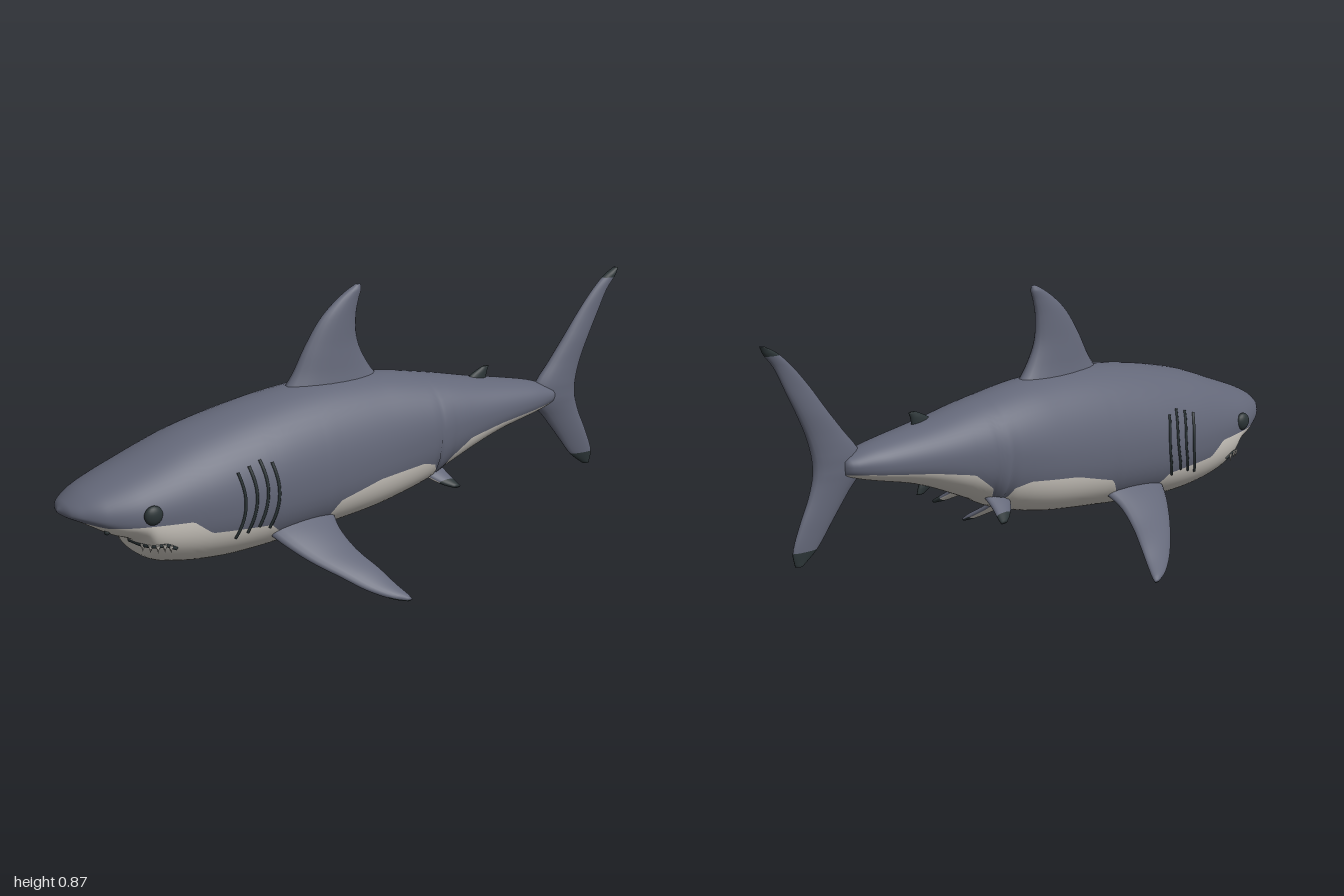
import * as THREE from 'three';

const V = (x, y, z) => new THREE.Vector3(x, y, z);
const paint = (name, color) => {
  const m = new THREE.MeshStandardMaterial({ color });
  m.name = name;
  return m;
};

// Piecewise reader for [x, value] lists, smooth or straight
function reader(pts, smooth = true) {
  const slope = i => {
    const a = pts[Math.max(0, i - 1)], b = pts[Math.min(pts.length - 1, i + 1)];
    return (b[1] - a[1]) / (b[0] - a[0]);
  };
  return x => {
    let i = 0;
    while (i < pts.length - 2 && x > pts[i + 1][0]) i++;
    const [x0, a] = pts[i], [x1, b] = pts[i + 1], d = x1 - x0;
    const t = THREE.MathUtils.clamp((x - x0) / d, 0, 1);
    if (!smooth) return a + (b - a) * t;
    const u = 1 - t;
    return a * (1 + 2 * t) * u * u + slope(i) * d * t * u * u + b * t * t * (3 - 2 * t) - slope(i + 1) * d * t * t * u;
  };
}

// Body outlines along its length (the snout points to -x)
const top = reader([[-1, .342], [-.985, .362], [-.93, .398], [-.8, .45], [-.58, .527], [-.23, .592], [.07, .593], [.275, .563], [.435, .53], [.65, .49], [.74, .46]]);
const bottom = reader([[-1, .332], [-.985, .322], [-.95, .305], [-.87, .258], [-.795, .222], [-.765, .168], [-.69, .137], [-.53, .12], [-.39, .124], [-.15, .147], [.06, .174], [.22, .217], [.3, .258], [.49, .34], [.68, .39], [.74, .41]]);
const widest = reader([[-1, .338], [-.8, .315], [-.4, .325], [0, .36], [.3, .41], [.74, .437]]);
const halfWidth = reader([[-1, .004], [-.985, .055], [-.95, .095], [-.9, .13], [-.8, .168], [-.6, .2], [-.45, .205], [-.3, .2], [.08, .168], [.35, .13], [.62, .08], [.72, .045], [.74, .03]]);
const centre = reader([[-1, 0], [.05, 0], [.35, .02], [.62, .043], [.74, .058]]);
// Height of the edge between dark back and pale belly
const edge = reader([[-1, .325], [-.9, .3], [-.74, .297], [-.66, .295], [-.6, .25], [-.4, .235], [-.36, .2], [-.19, .2], [-.15, .26], [0, .3], [.17, .315], [.225, .3], [.25, .235], [.27, .26], [.29, .31], [.36, .365], [.49, .39], [.68, .412], [.74, .415]], false);

const LOW = .85;
function bodyPoint(x, a) {
  const c = Math.cos(a), s = Math.sin(a), m = widest(x), w = halfWidth(x);
  const up = s >= 0;
  const z = w * Math.sign(c) * Math.pow(Math.abs(c), up ? 1 : LOW);
  const y = up ? m + (top(x) - m) * s : m - (m - bottom(x)) * Math.pow(-s, LOW);
  return V(x, y, centre(x) + z);
}
function angleAt(x, y) {
  const m = widest(x);
  if (y >= m) return Math.asin(Math.min(.97, (y - m) / (top(x) - m)));
  return -Math.asin(Math.min(.99, Math.pow((m - y) / (m - bottom(x)), 1 / LOW)));
}
const onBody = (x, y, side) => {
  const a = angleAt(x, y);
  return bodyPoint(x, side > 0 ? a : Math.PI - a);
};

// Skin closed rings of equal length; pick(row, column) chooses the material
function skin(rings, pick, materials) {
  const n = rings[0].length, pos = [], lists = materials.map(() => []);
  rings.forEach(r => r.forEach(p => pos.push(p.x, p.y, p.z)));
  for (let i = 0; i < rings.length - 1; i++) for (let j = 0; j < n; j++) {
    const a = i * n + j, b = i * n + (j + 1) % n;
    lists[pick(i, j)].push(a, b, a + n, b, b + n, a + n);
  }
  // Close both ends
  [0, rings.length - 1].forEach(r => {
    const c = pos.length / 3, mid = V(0, 0, 0);
    rings[r].forEach(p => mid.addScaledVector(p, 1 / n));
    pos.push(mid.x, mid.y, mid.z);
    for (let j = 0; j < n; j++) {
      const a = r * n + j, b = r * n + (j + 1) % n;
      lists[pick(Math.max(0, r - 1), j)].push(...(r ? [a, b, c] : [b, a, c]));
    }
  });
  // Turn the faces outward
  let volume = 0;
  const at = i => V(pos[3 * i], pos[3 * i + 1], pos[3 * i + 2]);
  lists.forEach(l => {
    for (let k = 0; k < l.length; k += 3) volume += at(l[k]).dot(at(l[k + 1]).cross(at(l[k + 2])));
  });
  if (volume < 0) lists.forEach(l => l.reverse());
  const g = new THREE.BufferGeometry();
  g.setAttribute('position', new THREE.Float32BufferAttribute(pos, 3));
  g.setIndex(lists.flat());
  let start = 0;
  lists.forEach((l, i) => { g.addGroup(start, l.length, i); start += l.length; });
  g.computeVertexNormals();
  return new THREE.Mesh(g, materials);
}

// Fin lofted through sections [leading point, trailing point, half thickness]
const RING = 20, STEPS = 5;
function fin(name, sections, normal, pick, materials) {
  const lead = new THREE.CatmullRomCurve3(sections.map(s => V(...s[0])));
  const trail = new THREE.CatmullRomCurve3(sections.map(s => V(...s[1])));
  const thick = reader(sections.map((s, i) => [i, s[2]]), false);
  const rows = (sections.length - 1) * STEPS, rings = [];
  for (let i = 0; i <= rows; i++) {
    const a = lead.getPoint(i / rows), b = trail.getPoint(i / rows), t = thick(i / STEPS);
    rings.push(Array.from({ length: RING }, (_, j) => {
      const f = (j + .5) / RING * Math.PI * 2;
      return a.clone().lerp(b, (1 - Math.cos(f)) / 2).addScaledVector(normal, t * Math.sin(f));
    }));
  }
  const mesh = skin(rings, (i, j) => pick(i / rows, j), materials);
  mesh.name = name;
  return mesh;
}

export function createModel() {
  const model = new THREE.Group();
  const grey = paint('slate grey', 0x636778), pale = paint('pale belly', 0xd2cdc5), dark = paint('dark tips', 0x2b3436);
  const colours = [grey, pale, dark];
  const add = (name, geometry, material) => {
    const m = new THREE.Mesh(geometry, material);
    m.name = name;
    model.add(m);
    return m;
  };

  // Body: dark back and pale belly share one smooth skin
  const BACK = 36, BELLY = 28, rings = [];
  for (let i = 0; i <= 150; i++) {
    const x = -1 + 1.74 * Math.pow(i / 150, 1.25), e = angleAt(x, edge(x));
    const ring = [];
    for (let j = 0; j < BACK; j++) ring.push(bodyPoint(x, e + (Math.PI - 2 * e) * j / BACK));
    for (let j = 0; j < BELLY; j++) ring.push(bodyPoint(x, Math.PI - e + (Math.PI + 2 * e) * j / BELLY));
    rings.push(ring);
  }
  const body = skin(rings, (i, j) => j < BACK ? 0 : 1, colours);
  body.name = 'body';
  model.add(body);

  // Upright fins, sections [lead x, trail x, y, half thickness]
  const upright = (list, z) => list.map(([a, b, y, t]) => [[a, y, z], [b, y, z], t]);
  const side = V(0, 0, 1);
  model.add(fin('dorsalFin', upright([[-.27, .12, .55, .055], [-.215, .06, .62, .042], [-.17, .02, .7, .032], [-.115, .015, .78, .024], [-.06, .025, .83, .018], [-.015, .034, .86, .014], [.015, .032, .876, .006]], 0), side, () => 0, colours));
  model.add(fin('secondDorsalFin', upright([[.4, .49, .515, .014], [.44, .495, .54, .01], [.475, .502, .557, .005]], .035), side, () => 2, colours));
  model.add(fin('analFin', upright([[.4, .47, .36, .014], [.43, .485, .33, .012], [.465, .492, .308, .006]], .015), side, () => 2, colours));

  // Tail fin, from lower tip to upper tip
  const tail = [[.885, .905, .168, .004], [.83, .912, .21, .009], [.77, .885, .285, .016], [.71, .85, .36, .022], [.66, .832, .42, .028], [.67, .832, .47, .028], [.725, .85, .54, .023], [.78, .88, .61, .02], [.84, .92, .69, .014], [.9, .955, .76, .011], [.95, .99, .805, .011], [.988, 1, .827, .006]];
  model.add(fin('tailFin', tail.map(([a, b, y, t]) => [[a, y, .062], [b, y, .07], t]), side,
    u => u < .09 || u > .88 ? 2 : 0, colours));

  for (const s of [1, -1]) {
    const label = s > 0 ? 'left' : 'right';

    // Paired fins, sections [lead x, trail x, y, z, half thickness]
    const paired = list => list.map(([a, b, y, z, t]) => [[a, y, s * z], [b, y, s * z], t]);
    const under = (u, j) => j < RING / 2 ? 0 : u > .78 ? 2 : j > RING / 2 && j < RING - 2 ? 1 : 0;
    model.add(fin(label + 'PectoralFin', paired([[-.41, -.15, .22, .12, .03], [-.375, -.165, .178, .19, .026], [-.32, -.15, .13, .26, .021], [-.25, -.115, .085, .33, .017], [-.19, -.09, .047, .38, .014], [-.125, -.07, .02, .42, .011], [-.085, -.066, .01, .435, .006]]),
      V(0, .83, s * .56), under, colours));
    model.add(fin(label + 'PelvicFin', paired([[.2, .29, .275, .06, .016], [.22, .295, .25, .1, .014], [.255, .305, .228, .135, .01], [.285, .31, .217, .155, .006]]),
      V(0, .83, s * .56), (u, j) => u > .55 ? 2 : j < RING / 2 ? 0 : 1, colours));

    // Eye and nostril
    const eye = add(label + 'Eye', new THREE.SphereGeometry(.029, 20, 14), dark);
    eye.position.copy(onBody(-.78, .332, s));
    eye.scale.z = .55;
    const nostril = add(label + 'Nostril', new THREE.SphereGeometry(.009, 10, 8), dark);
    nostril.position.copy(onBody(-.89, .28, s));

    // Gill slits
    for (let k = 0; k < 4; k++) {
      const x = -.51 + k * .038;
      const line = Array.from({ length: 9 }, (_, i) => {
        const v = i / 8;
        return onBody(x + .02 * Math.sin(v * Math.PI) - .012 * (1 - v), .24 + v * .2 - Math.abs(k - 2) * .012, s);
      });
      add(label + 'GillSlit', new THREE.TubeGeometry(new THREE.CatmullRomCurve3(line), 24, .005, 6), dark);
    }

    // Mouth line and teeth
    const lip = new THREE.CatmullRomCurve3([[-.705, .215], [-.735, .23], [-.765, .23], [-.785, .226], [-.792, .2]].map(([x, y]) => onBody(x, y, s)));
    add(label + 'MouthLine', new THREE.TubeGeometry(lip, 24, .006, 6), dark);
    for (let k = 1; k < 6; k++) {
      const tooth = add(label + 'Tooth', new THREE.ConeGeometry(.007, .024, 5), pale);
      tooth.position.copy(lip.getPoint(k / 6.5)).add(V(-.002, -.008, s * .004));
      tooth.rotation.x = Math.PI;
    }
  }
  return model;
}
